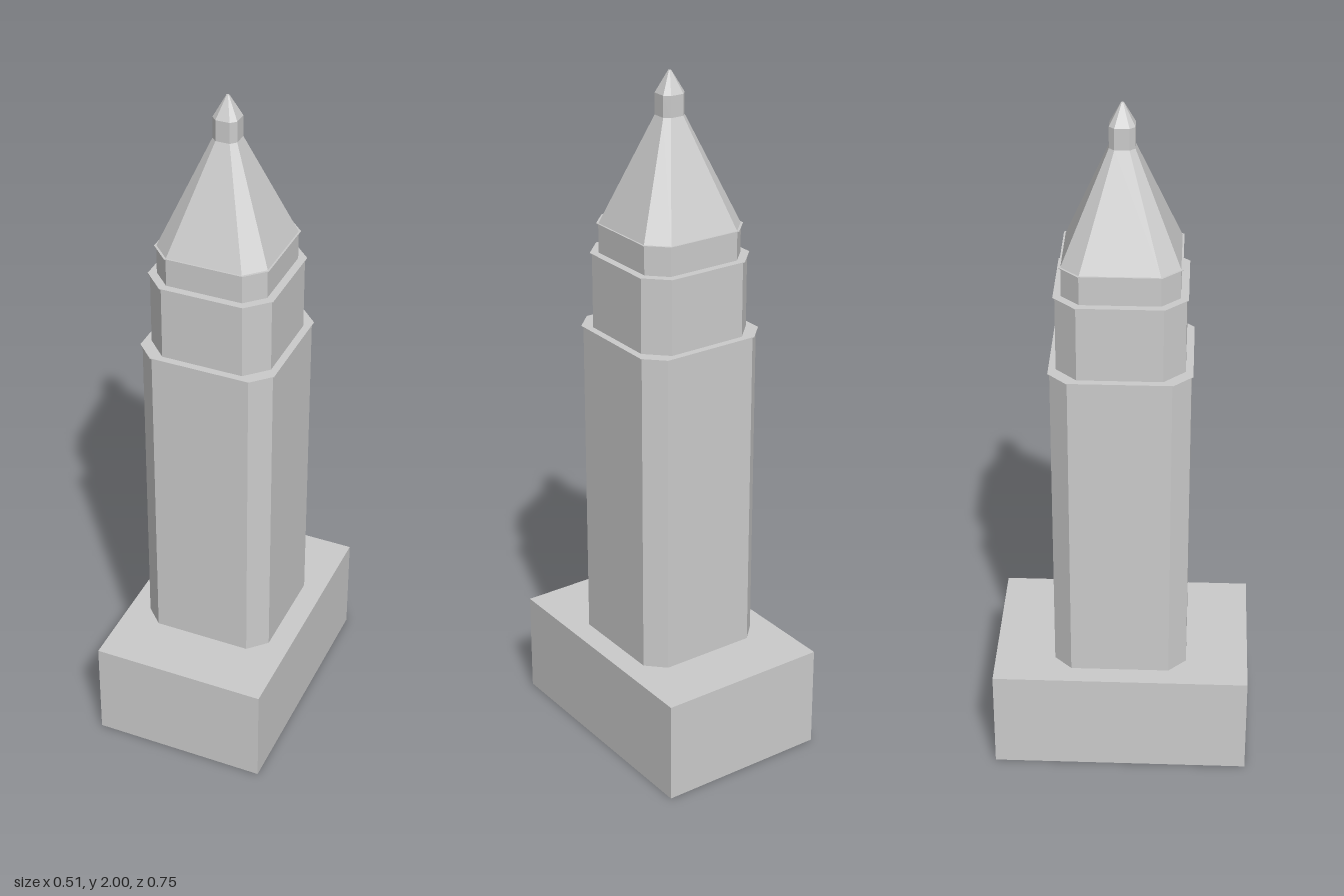
import * as THREE from 'three';

const stone = new THREE.MeshStandardMaterial({ color: 0xcccccc, side: THREE.DoubleSide, flatShading: true });
stone.name = 'pale stone';

// Square ring with cut corners: w = half width, c = half length of each straight side
const octagon = (w, c, y) => [
  [w, c], [c, w], [-c, w], [-w, c], [-w, -c], [-c, -w], [c, -w], [w, -c],
].map(([x, z]) => [x, y, z]);

const rectangle = (w, d, y) => [[w, y, d], [-w, y, d], [-w, y, -d], [w, y, -d]];

// Skin a stack of rings from bottom to top and close the top with a flat cap
function loft(name, rings) {
  const pos = [];
  const n = rings[0].length;
  for (let r = 0; r < rings.length - 1; r++) {
    for (let i = 0; i < n; i++) {
      const j = (i + 1) % n;
      const [a, b, c, d] = [rings[r][i], rings[r][j], rings[r + 1][j], rings[r + 1][i]];
      pos.push(...a, ...d, ...c, ...a, ...c, ...b);
    }
  }
  const top = rings[rings.length - 1];
  for (let i = 1; i < n - 1; i++) pos.push(...top[0], ...top[i + 1], ...top[i]);
  const geometry = new THREE.BufferGeometry();
  geometry.setAttribute('position', new THREE.Float32BufferAttribute(pos, 3));
  geometry.computeVertexNormals();
  const mesh = new THREE.Mesh(geometry, stone);
  mesh.name = name;
  return mesh;
}

export function createModel() {
  const model = new THREE.Group();
  model.name = 'tower';

  // Hollow base, open underneath
  model.add(loft('base', [rectangle(0.257, 0.373, 0), rectangle(0.257, 0.373, 0.305)]));

  const tower = new THREE.Group();
  tower.name = 'towerBody';
  tower.position.set(-0.0015, 0, -0.0025);
  model.add(tower);

  // Stepped tiers, each topped by a very thin overhanging ledge
  const tiers = [
    ['shaft', 0.194, 0.143, 0.305, 1.27],
    ['middleTier', 0.178, 0.118, 1.27, 1.49],
    ['upperTier', 0.161, 0.11, 1.49, 1.575],
  ];
  for (const [name, w, c, y0, y1] of tiers) {
    tower.add(loft(name, [octagon(w, c, y0), octagon(w, c, y1)]));
    const lw = w + 0.005, lc = c + 0.003;
    tower.add(loft(name + 'Ledge', [
      octagon(w, c, y1 - 0.002), octagon(lw, lc, y1 - 0.002), octagon(lw, lc, y1),
    ]));
  }

  // Tapering roof
  tower.add(loft('roof', [octagon(0.161, 0.109, 1.575), octagon(0.035, 0.02, 1.88)]));

  // Small finial with a pointed tip
  tower.add(loft('finial', [
    octagon(0.035, 0.02, 1.88), octagon(0.035, 0.02, 1.94), octagon(0.004, 0.002, 2),
  ]));

  return model;
}
